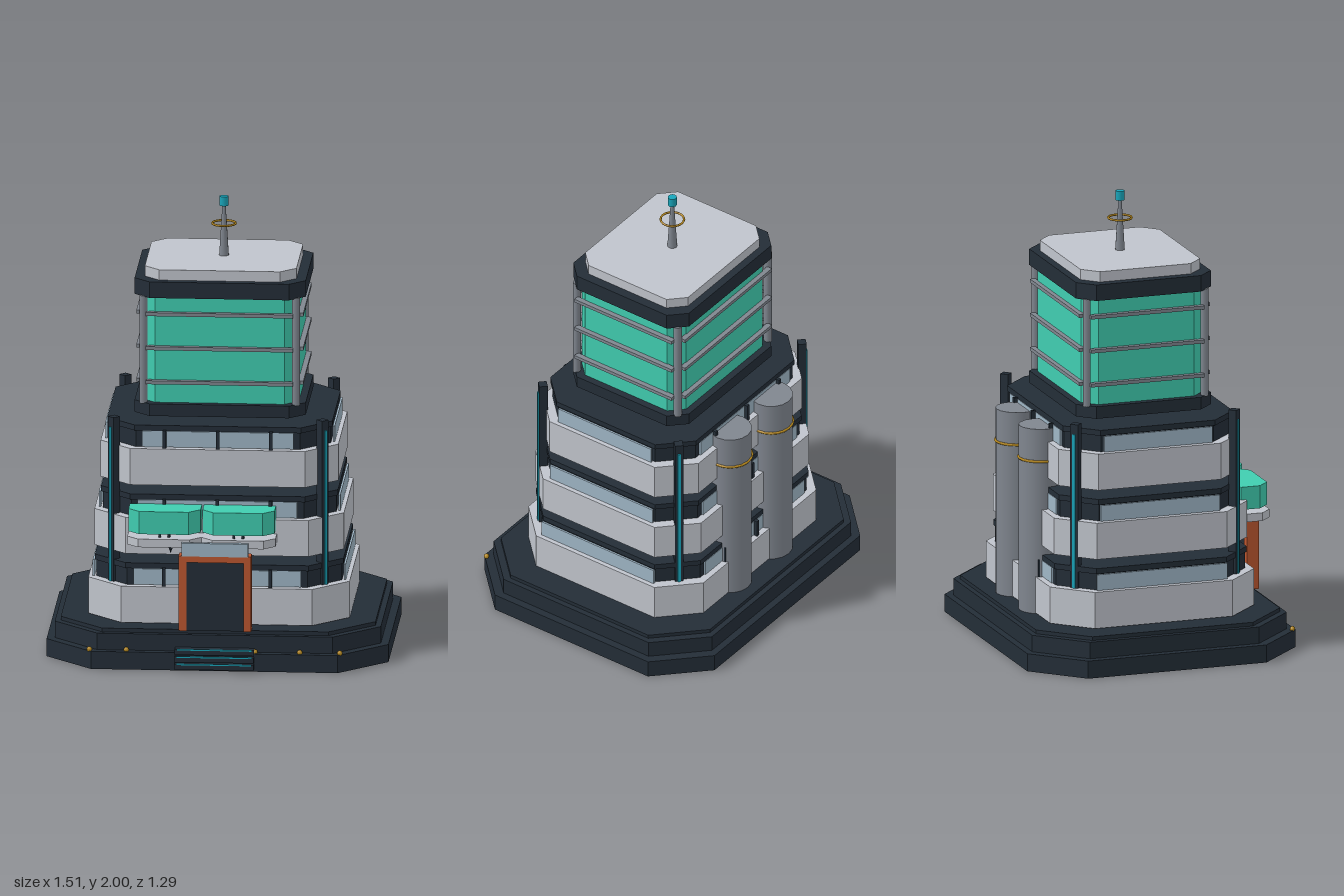
import * as THREE from 'three';

const material = (name, color) => Object.assign(new THREE.MeshStandardMaterial({ color }), { name });
const dark = material('dark slate', 0x232d37);
const white = material('pale concrete', 0xc0c4cc);
const green = material('green glass', 0x40cdb0);
const grey = material('steel grey', 0x80868f);
const pane = material('window blue', 0x9fb6c6);
const orange = material('rust orange', 0xbc562f);
const gold = material('gold', 0xb88a1e);
const teal = material('teal light', 0x18a5ba);

const ZC = -0.018; // centre line of the building

function add(parent, name, geometry, mat, x = 0, y = 0, z = 0) {
  const mesh = new THREE.Mesh(geometry, mat);
  mesh.name = name;
  mesh.position.set(x, y, z);
  parent.add(mesh);
  return mesh;
}

function box(parent, name, mat, w, h, d, x, y, z) {
  return add(parent, name, new THREE.BoxGeometry(w, h, d), mat, x, y, z);
}

// Upright prism with cut corners; front and back cuts may differ
function prism(parent, name, mat, hx, hz, cut, y0, y1, x = 0, z = 0, backCut = cut) {
  const s = new THREE.Shape();
  s.moveTo(-hx + cut, -hz);
  s.lineTo(hx - cut, -hz);
  s.lineTo(hx, -hz + cut);
  s.lineTo(hx, hz - backCut);
  if (backCut) s.lineTo(hx - backCut, hz);
  s.lineTo(-hx + backCut, hz);
  if (backCut) s.lineTo(-hx, hz - backCut);
  s.lineTo(-hx, -hz + cut);
  const g = new THREE.ExtrudeGeometry(s, { depth: y1 - y0, bevelEnabled: false });
  g.rotateX(-Math.PI / 2);
  return add(parent, name, g, mat, x, y0, z);
}

function ring(parent, name, r, tube, x, y, z) {
  const g = new THREE.TorusGeometry(r, tube, 6, 20).rotateX(Math.PI / 2);
  return add(parent, name, g, gold, x, y, z);
}

function group(parent, name, z = ZC) {
  const g = new THREE.Group();
  g.name = name;
  g.position.z = z;
  parent.add(g);
  return g;
}

function buildBase(root) {
  const base = group(root, 'base');
  prism(base, 'lowerPlinth', dark, 0.755, 0.627, 0.21, 0, 0.08);
  prism(base, 'middlePlinth', dark, 0.72, 0.595, 0.2, 0.08, 0.155);
  prism(base, 'upperPlinth', dark, 0.695, 0.57, 0.195, 0.155, 0.172);

  // Entrance steps with lit edges
  const steps = group(root, 'steps', 0);
  for (let i = 0; i < 3; i++) {
    const y = 0.025 + i * 0.03, front = 0.642 - i * 0.013;
    box(steps, 'step', dark, 0.35, 0.026, 0.07, 0, y, front - 0.035);
    box(steps, 'stepLight', teal, 0.33, 0.006, 0.004, 0, y + 0.011, front + 0.001);
  }

  // Small lamps along the front ledge
  for (const x of [-0.553, -0.39, -0.012, 0.178, 0.376, 0.553])
    add(root, 'ledgeLamp', new THREE.SphereGeometry(0.012, 8, 6), gold, x, 0.086, 0.592);
}

function buildFloors(root) {
  for (let i = 0; i < 3; i++) {
    const floor = group(root, 'floor' + (i + 1));
    const y = 0.175 + i * 0.307, s = i * 0.026;
    const hx = 0.577 - s, hz = 0.477 - s, cut = 0.155 - i * 0.008;
    prism(floor, 'parapet', white, hx, hz, cut, y, y + 0.165);
    prism(floor, 'windowCore', dark, hx - 0.035, hz - 0.035, cut - 0.012, y + 0.165, y + 0.24);
    prism(floor, 'roofSlab', dark, hx - 0.028, hz - 0.028, cut - 0.01, y + 0.24, y + 0.265);

    // Window strips on all four sides, mullions on front and back
    const wx = 0.37 - i * 0.018, wz = 0.305 - s;
    for (const side of [-1, 1]) {
      box(floor, 'longWindow', pane, 2 * wx, 0.072, 0.009, 0, y + 0.203, side * (hz - 0.031));
      box(floor, 'sideWindow', pane, 0.009, 0.072, 2 * wz, side * (hx - 0.0225), y + 0.203, 0);
      for (const x of [-0.235, 0, 0.235])
        box(floor, 'mullion', dark, 0.015, 0.08, 0.025, x, y + 0.205, side * (hz - 0.022));
    }
  }
}

// Diagonal corner pillars with a light strip on the outer face
function buildPillars(root) {
  const pillars = group(root, 'cornerPillars');
  for (const sx of [-1, 1]) for (const sz of [-1, 1]) {
    const pillar = new THREE.Group();
    pillar.name = 'pillar';
    pillar.position.set(sx * 0.461, 0, sz * 0.37);
    pillar.rotation.y = Math.atan2(sx, sz);
    box(pillar, 'pillarShaft', dark, 0.038, 0.91, 0.038, 0, 0.63, 0);
    box(pillar, 'pillarLight', teal, 0.014, 0.82, 0.006, 0, 0.63, 0.021);
    pillars.add(pillar);
  }
}

// Service pipes on the back wall
function buildPipes(root) {
  for (const x of [-0.153, 0.153]) {
    const g = new THREE.CylinderGeometry(0.096, 0.096, 0.84, 16);
    add(root, 'servicePipe', g, grey, x, 0.592, -0.445);
    ring(root, 'pipeBand', 0.097, 0.006, x, 0.865, -0.445);
  }
}

function buildEntrance(root) {
  const door = group(root, 'entrance', 0);
  for (const s of [-1, 1]) box(door, 'doorPost', orange, 0.034, 0.34, 0.058, s * 0.143, 0.342, 0.547);
  box(door, 'doorLintel', orange, 0.32, 0.03, 0.058, 0, 0.498, 0.547);
  box(door, 'doorPanel', dark, 0.252, 0.311, 0.045, 0, 0.3275, 0.547);
  box(door, 'doorCanopy', pane, 0.295, 0.06, 0.018, 0, 0.542, 0.573);

  // Twin balconies above the door
  for (const x of [-0.227, 0.1]) {
    const balcony = group(root, 'balcony', 0);
    prism(balcony, 'balconySlab', white, 0.164, 0.07, 0.05, 0.545, 0.582, x, 0.49, 0);
    prism(balcony, 'balconyGlass', green, 0.159, 0.07, 0.05, 0.602, 0.705, x, 0.48, 0);
    for (const s of [-1, 1]) box(balcony, 'balconyFoot', dark, 0.012, 0.02, 0.012, x + s * 0.02, 0.592, 0.52);
    const bracket = new THREE.ConeGeometry(0.016, 0.04, 6).rotateX(Math.PI);
    add(balcony, 'balconyBracket', bracket, dark, x + 0.027, 0.525, 0.5);
  }
}

function buildTower(root) {
  const tower = group(root, 'tower');
  add(tower, 'towerHub', new THREE.CylinderGeometry(0.08, 0.055, 0.04, 8), dark, 0, 1.06, -0.035);
  prism(tower, 'towerFloor', dark, 0.378, 0.315, 0.07, 1.075, 1.13);
  prism(tower, 'towerGlass', green, 0.346, 0.284, 0.06, 1.13, 1.612);
  prism(tower, 'towerCornice', dark, 0.378, 0.315, 0.07, 1.612, 1.685);
  prism(tower, 'towerRoof', white, 0.335, 0.28, 0.068, 1.685, 1.732);

  // Corner posts and horizontal rails
  for (const sx of [-1, 1]) for (const sz of [-1, 1])
    add(tower, 'towerPost', new THREE.CylinderGeometry(0.018, 0.018, 0.49, 10), grey, sx * 0.337, 1.37, sz * 0.275);
  for (const y of [1.225, 1.38, 1.535]) for (const s of [-1, 1]) {
    box(tower, 'longRail', grey, 0.65, 0.016, 0.026, 0, y, s * 0.293);
    box(tower, 'sideRail', grey, 0.026, 0.016, 0.53, s * 0.356, y, 0);
  }

  // Rooftop mast
  add(tower, 'mast', new THREE.CylinderGeometry(0.007, 0.022, 0.24, 10), grey, 0, 1.85, 0);
  ring(tower, 'mastRing', 0.052, 0.005, 0, 1.877, 0);
  add(tower, 'mastBeacon', new THREE.CylinderGeometry(0.02, 0.02, 0.042, 12), teal, 0, 1.979, 0);
}

export function createModel() {
  const root = new THREE.Group();
  root.name = 'officeTower';
  buildBase(root);
  buildFloors(root);
  buildPillars(root);
  buildPipes(root);
  buildEntrance(root);
  buildTower(root);
  return root;
}
